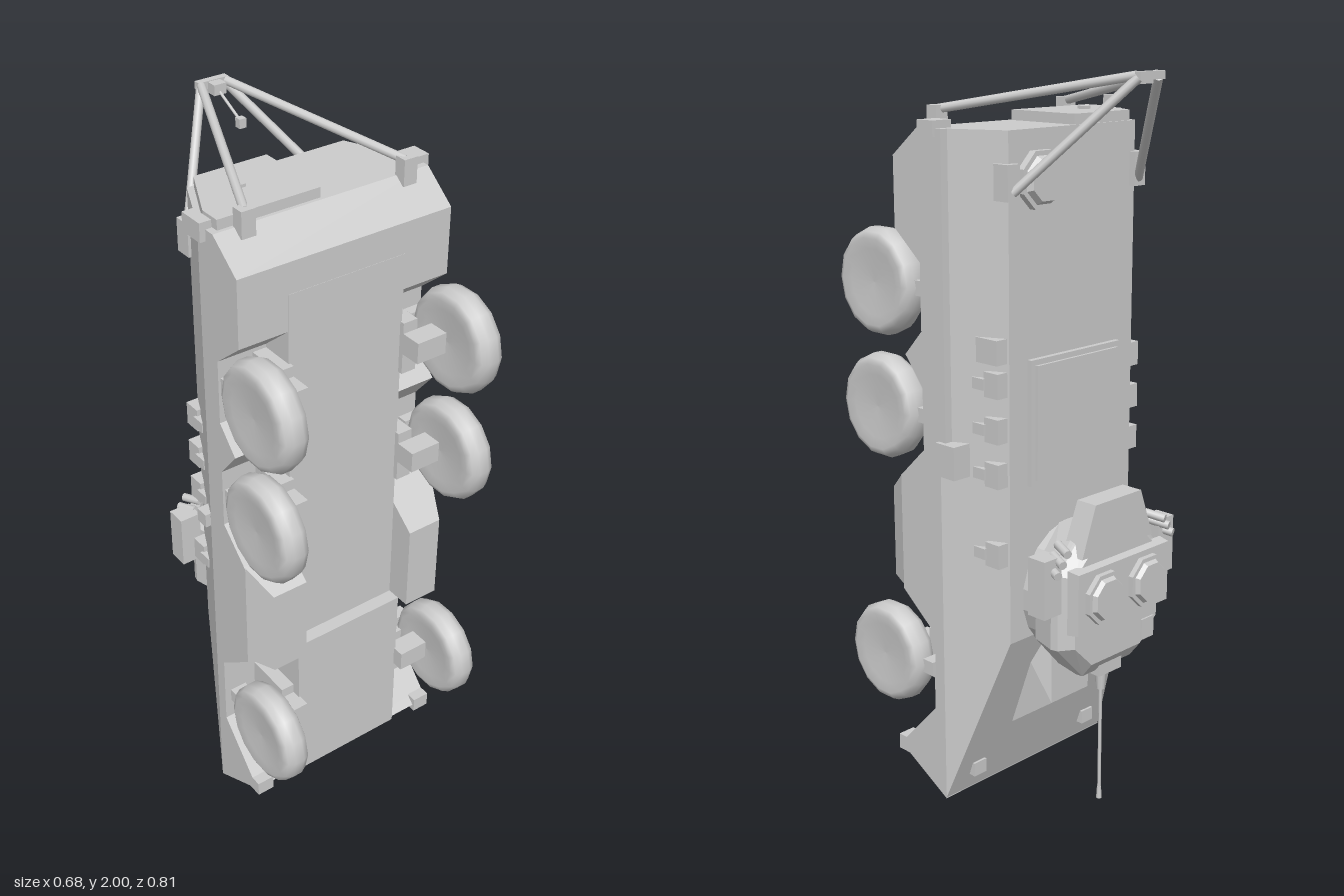
import * as THREE from 'three';
import { ConvexGeometry } from 'three/addons/geometries/ConvexGeometry.js';

export function createModel() {
  const root = new THREE.Group();
  root.name = 'armouredVehicle';
  const gray = new THREE.MeshStandardMaterial({ color: 0xcccccc });
  gray.name = 'light gray';

  const add = (name, geo) => {
    const m = new THREE.Mesh(geo, gray);
    m.name = name;
    root.add(m);
    return m;
  };
  const flat = (g) => {
    const n = g.toNonIndexed();
    n.computeVertexNormals();
    return n;
  };
  // Box from min and max on each axis
  const box = (name, x0, x1, y0, y1, z0, z1) =>
    add(name, new THREE.BoxGeometry(x1 - x0, y1 - y0, z1 - z0))
      .position.set((x0 + x1) / 2, (y0 + y1) / 2, (z0 + z1) / 2);
  // The same box on one side (s = 1 or -1)
  const sideBox = (name, s, x0, x1, ...r) =>
    s > 0 ? box(name, x0, x1, ...r) : box(name, -x1, -x0, ...r);
  const hull = (name, pts) =>
    add(name, new ConvexGeometry(pts.map((p) => new THREE.Vector3(...p))));
  // Convex solid mirrored across x
  const mirrored = (name, pts) =>
    hull(name, pts.flatMap(([x, y, z]) => [[x, y, z], [-x, y, z]]));
  // Side profile of [z, y] points, extruded across x
  const profile = (name, pts, halfWidth) => {
    const shape = new THREE.Shape(pts.map((p) => new THREE.Vector2(...p)));
    const g = new THREE.ExtrudeGeometry(shape, { depth: halfWidth * 2, bevelEnabled: false });
    g.translate(0, 0, -halfWidth).rotateY(-Math.PI / 2);
    return add(name, g);
  };
  const rod = (name, a, b, r0, r1 = r0, sides = 10) => {
    const A = new THREE.Vector3(...a), B = new THREE.Vector3(...b);
    const d = B.clone().sub(A);
    const m = add(name, new THREE.CylinderGeometry(r1, r0, d.length(), sides));
    m.position.copy(A).addScaledVector(d, 0.5);
    m.quaternion.setFromUnitVectors(new THREE.Vector3(0, 1, 0), d.normalize());
  };
  // Disc whose axis is z, with its outer face towards -z
  const disc = (name, x, y, z0, z1, r, rTop, sides) => {
    const g = flat(new THREE.CylinderGeometry(rTop, r, z0 - z1, sides, 1, false, Math.PI / sides));
    g.rotateX(-Math.PI / 2);
    add(name, g).position.set(x, y, (z0 + z1) / 2);
  };

  // Hull: upper body with sloped sides and nose, lower body with wheel wells
  mirrored('upperHull', [
    [0.317, 0.01, 0.026], [0.317, 1.86, 0.026], [0.235, 1.86, -0.15], [0.235, 0.51, -0.15],
  ]);
  profile('lowerHull', [
    [0.025, 0.01], [0.215, 0.115], [0.195, 0.135], [0.06, 0.28], [0.06, 0.5], [0.185, 0.6],
    [0.185, 0.93], [0.09, 1.02], [0.09, 1.19], [0.155, 1.27], [0.09, 1.34], [0.09, 1.52],
    [0.185, 1.6], [0.185, 1.785], [0.09, 1.86], [0.025, 1.86],
  ], 0.317);
  profile('keel', [
    [0.03, 0.02], [0.225, 0.115], [0.225, 0.61], [0.186, 0.61], [0.186, 1.7], [0.03, 1.7],
  ], 0.175);

  // Driver's hood on the nose slope
  mirrored('driverHood', [
    [0.13, 0.19, -0.025], [0.075, 0.28, -0.15], [0.075, 0.46, -0.15], [0.14, 0.46, -0.1],
  ]);

  // Wheels and suspension
  const tyre = [[0, -0.03], [0.09, -0.035], [0.118, -0.041], [0.135, -0.033], [0.145, -0.014],
    [0.145, 0.014], [0.135, 0.033], [0.118, 0.041], [0.09, 0.035], [0, 0.03]];
  const wheelGeo = new THREE.LatheGeometry(tyre.map((p) => new THREE.Vector2(...p)), 14);
  wheelGeo.rotateZ(-Math.PI / 2);
  for (const s of [1, -1]) {
    for (const y of [0.385, 1.11, 1.45]) {
      add('wheel', wheelGeo).position.set(s * 0.298, y, 0.26);
      sideBox('suspensionArm', s, 0.17, 0.262, y - 0.03, y + 0.03, 0.2, 0.26);
      sideBox('damper', s, 0.17, 0.215, y - 0.09, y + 0.06, 0.05, 0.2);
      sideBox('wellPeg', s, 0.26, 0.31, y - 0.02, y + 0.02, 0.08, 0.12);
    }
    // Belly box between the wheels
    hull('bellyBox', [0.175, 0.317].flatMap((x) => [[s * x, 0.61, 0.18], [s * x, 0.935, 0.18]])
      .concat([0.175, 0.28].flatMap((x) => [[s * x, 0.61, 0.262], [s * x, 0.87, 0.262]])));
    // Nose fittings
    sideBox('towHook', s, 0.265, 0.317, 0.095, 0.14, 0.17, 0.222);
    sideBox('headlamp', s, 0.2, 0.245, 0.065, 0.105, -0.015, 0.02);
    // Side periscopes
    for (const y of [0.765, 0.985, 1.105, 1.225]) {
      sideBox('periscope', s, 0.225, 0.272, y - 0.033, y + 0.033, -0.145, -0.095);
      sideBox('periscopeStub', s, 0.25, 0.28, y - 0.015, y + 0.015, -0.1, -0.06);
    }
  }
  box('sideStowage', 0.22, 0.275, 1.28, 1.345, -0.145, -0.07);
  box('railBox', 0.28, 0.338, 0.97, 1.06, -0.05, 0.02);
  box('sideRail', 0.3, 0.325, 1.06, 1.86, -0.005, 0.02);
  box('railEnd', 0.27, 0.333, 1.84, 1.88, 0.015, 0.072);
  box('tailLamp', -0.333, -0.3, 1.83, 1.88, -0.015, 0.06);
  box('sideLamp', -0.33, -0.28, 0.97, 1.01, -0.02, 0.02);

  // Deck panel and rear deck hatch
  box('deckPanel', -0.17, 0.17, 0.94, 1.28, -0.165, -0.14);
  box('deckPanelLid', -0.155, 0.155, 0.955, 1.265, -0.173, -0.165);
  disc('rearHatch', 0.13, 1.735, -0.145, -0.17, 0.078, 0.078, 8);
  disc('rearHatchLid', 0.13, 1.735, -0.17, -0.185, 0.065, 0.055, 8);

  // Rear door plate
  const door = [[-0.005, -0.145], [-0.218, -0.145], [-0.298, 0.02], [-0.298, 0.08], [-0.005, 0.08]];
  hull('rearDoor', door.flatMap(([x, z]) => [[x, 1.85, z], [x, 1.887, z]]));
  box('doorHandle', -0.17, -0.147, 1.88, 1.895, -0.05, -0.025);

  // Rear lifting frame
  for (const s of [1, -1]) {
    sideBox('frameFoot', s, 0.217, 0.257, 1.84, 1.91, 0.085, 0.12);
    sideBox('frameFoot', s, 0.215, 0.257, 1.69, 1.78, -0.17, -0.12);
    rod('frameStrut', [s * 0.235, 1.9, 0.1], [s * 0.037, 1.99, -0.385], 0.012);
    rod('frameStrut', [s * 0.235, 1.71, -0.165], [s * 0.037, 1.985, -0.39], 0.012);
  }
  box('frameBar', -0.045, 0.045, 1.98, 2, -0.405, -0.385);
  box('pulley', -0.018, 0.018, 1.97, 1.998, -0.39, -0.355);
  rod('hookRod', [0, 1.98, -0.365], [0, 1.93, -0.265], 0.004);
  box('hook', -0.01, 0.01, 1.915, 1.94, -0.275, -0.255);

  // Turret ring and faceted body
  const cy = 0.625;
  disc('turretRing', 0, cy, -0.145, -0.192, 0.188, 0.188, 20);
  const section = (z, hx, hy, cut) => [
    [hx, cy - hy * cut, z], [hx, cy + hy * cut, z],
    [hx * cut, cy + hy, z], [hx * cut, cy - hy, z],
  ];
  mirrored('turretBody', [
    ...section(-0.19, 0.18, 0.205, 0.5), ...section(-0.265, 0.2, 0.21, 0.5),
    ...section(-0.285, 0.195, 0.21, 0.5), ...section(-0.32, 0.165, 0.165, 0.6),
  ]);
  mirrored('turretBustle', [
    [0.14, 0.77, -0.25], [0.09, 0.908, -0.255], [0.14, 0.77, -0.32], [0.09, 0.908, -0.32],
  ]);
  mirrored('hatchPlate', [
    [0.185, 0.57, -0.31], [0.185, 0.75, -0.31], [0.18, 0.575, -0.345], [0.18, 0.745, -0.345],
  ]);

  for (const s of [1, -1]) {
    disc('turretHatch', s * 0.085, 0.66, -0.34, -0.36, 0.074, 0.074, 8);
    disc('turretHatchLid', s * 0.085, 0.66, -0.36, -0.372, 0.062, 0.055, 8);
    sideBox('turretSideBox', s, 0.195, 0.258, 0.63, 0.79, -0.298, -0.238);
    // Smoke launchers
    for (let i = 0; i < 3; i++) {
      const x = 0.175 + i * 0.018, y = 0.81 - i * 0.025;
      rod('smokeLauncher', [s * x, y, -0.265], [s * (x + 0.02), y - 0.01, -0.32], 0.012);
    }
  }
  box('gunSight', -0.15, -0.1, 0.47, 0.53, -0.325, -0.28);

  // Gun pointing down along the nose
  box('mantlet', -0.045, 0.045, 0.4, 0.46, -0.3, -0.235);
  rod('gunSleeve', [0, 0.34, -0.265], [0, 0.43, -0.265], 0.012, 0.018);
  rod('gunBarrel', [0, 0.01, -0.265], [0, 0.36, -0.265], 0.005);
  rod('gunMuzzle', [0, 0, -0.265], [0, 0.035, -0.265], 0.008, 0.006);

  return root;
}
